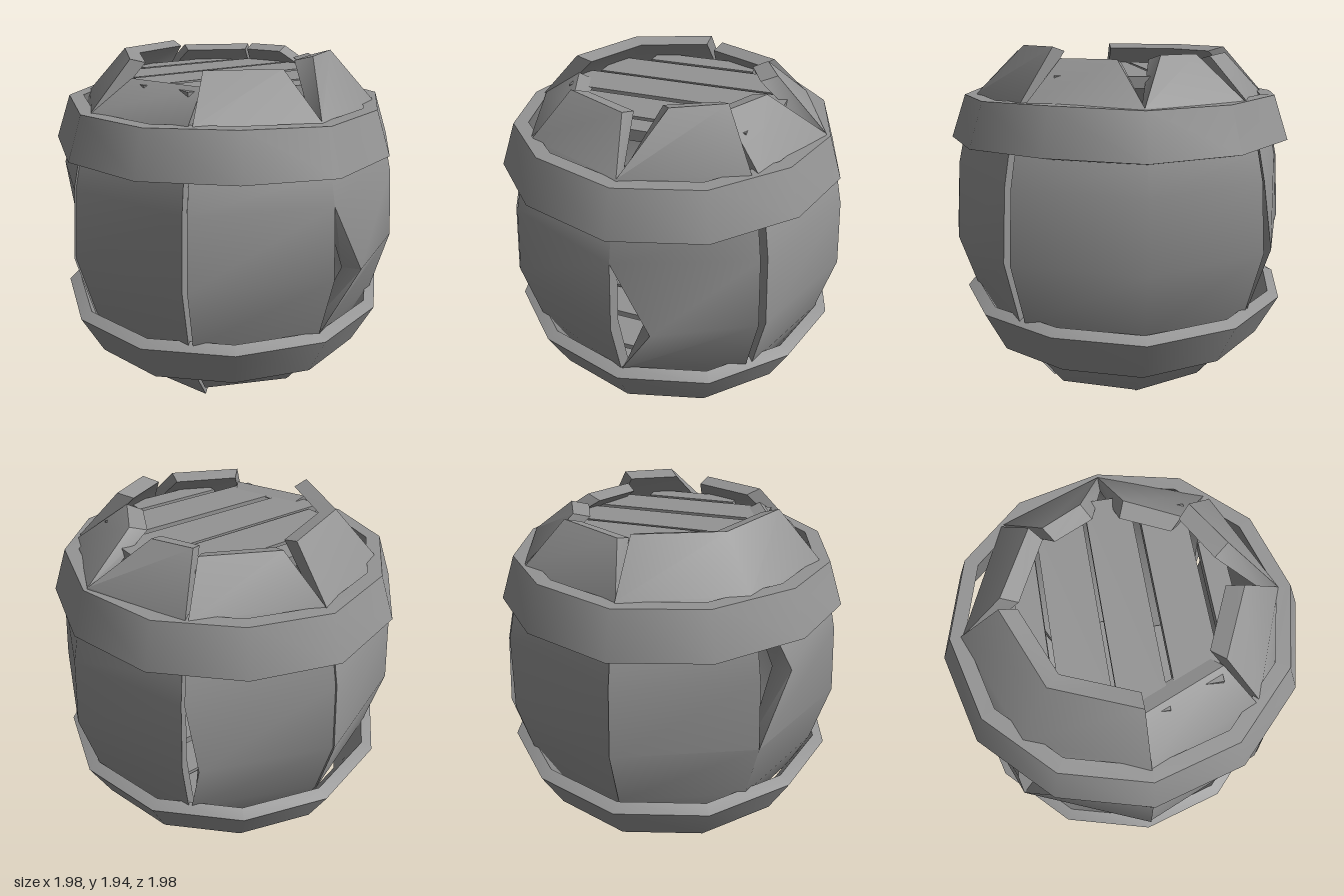
import * as THREE from 'three';
import { toCreasedNormals, mergeGeometries } from 'three/addons/utils/BufferGeometryUtils.js';

const material = new THREE.MeshStandardMaterial({ color: 0x949494 });
const rad = THREE.MathUtils.degToRad;

// Barrel profile between the two ends: [height, outer radius]
const belly = [[0.27, 0.77], [0.52, 0.89], [0.88, 0.985], [1.27, 0.955], [1.42, 0.92], [1.67, 0.83]];
const WALL = 0.09;

// One half stave: loops of four corners stacked up the profile.
// shiftL / shiftR move its side edges (degrees) at chosen rows, for notches and splits;
// the inner edges move less, so the cuts taper inwards.
function halfStave({ from, to, top, bottom, topRadius = 0.6, scale = 1, shiftL = {}, shiftR = {} }) {
  const rows = [[bottom, 0.77 - (0.27 - bottom) * 0.8], ...belly, [top, topRadius]];
  const last = rows.length - 1;
  const pos = [], index = [];
  rows.forEach(([y, r], i) => {
    const l = shiftL[i] || 0, s = shiftR[i] || 0;
    const ro = r * scale, ri = ro - WALL;
    const yi = y + (i === 0 ? 0.025 : i === last ? -0.025 : 0);
    const corners = [[from + l, ro, y], [to + s, ro, y], [to + s * 0.75, ri, yi], [from + l * 0.75, ri, yi]];
    for (const [deg, q, h] of corners) pos.push(Math.sin(rad(deg)) * q, h, Math.cos(rad(deg)) * q);
    if (i === last) return;
    for (let k = 0; k < 4; k++) {
      const p = i * 4 + k, n = i * 4 + (k + 1) % 4;
      index.push(p, n, n + 4, p, n + 4, p + 4);
    }
  });
  const t = last * 4;
  index.push(0, 2, 1, 0, 3, 2, t, t + 1, t + 2, t, t + 2, t + 3);
  const g = new THREE.BufferGeometry();
  g.setAttribute('position', new THREE.Float32BufferAttribute(pos, 3));
  g.setIndex(index);
  return g;
}

// Staves, each made of one or two halves. Rows 3 and 4 are the belly, row 7 the top.
const staves = {
  frontStave: [
    { from: -45, to: 0, top: 1.9, bottom: 0.1, shiftR: { 7: -6 } },
    { from: 0, to: 45, top: 1.94, bottom: 0.1, topRadius: 0.58, shiftL: { 3: 12, 7: 16 } },
  ],
  leftStave: [
    { from: 47.5, to: 90, top: 1.88, bottom: 0.05, topRadius: 0.53, shiftL: { 7: -2 }, shiftR: { 7: -10 } },
    { from: 90, to: 132, top: 1.9, bottom: 0.04, topRadius: 0.54, shiftL: { 7: 14 }, shiftR: { 7: -3 } },
  ],
  backLeftStave: [
    { from: 133, to: 180, top: 1.89, bottom: 0.03, shiftL: { 3: 4 }, shiftR: { 7: -7 } },
  ],
  backRightStave: [
    { from: 180, to: 225, top: 1.92, bottom: 0.09, scale: 1.01 },
    { from: 225, to: 270, top: 1.92, bottom: 0.09, scale: 1.01, shiftL: { 4: 12, 5: 8 } },
  ],
  rightStave: [
    { from: 270, to: 313.5, top: 1.82, bottom: 0.0, shiftR: { 7: 1 } },
  ],
};

// Faceted hoop from a closed section, slightly uneven and pressed in on its +x and +z sides
function hoop(name, section, pressX, pressZ) {
  const points = [...section, section[0]].map(([r, y]) => new THREE.Vector2(r, y));
  const g = new THREE.LatheGeometry(points, 12);
  const p = g.attributes.position;
  for (let i = 0; i < p.count; i++) {
    const x = p.getX(i), z = p.getZ(i);
    const lift = 0.01 * Math.cos(4 * Math.atan2(x, z) + 2.5);
    p.setXYZ(i, x > 0 ? x * pressX : x, p.getY(i) + lift, z > 0 ? z * pressZ : z);
  }
  const mesh = new THREE.Mesh(toCreasedNormals(g, 0.8), material);
  mesh.name = name;
  return mesh;
}

// Round end made of parallel planks
function plankLid(name, y, radius) {
  const lid = new THREE.Group();
  lid.name = name;
  for (const [z, depth] of [[-0.47, 0.13], [-0.255, 0.25], [0.01, 0.24], [0.29, 0.24], [0.5, 0.12]]) {
    const half = Math.sqrt(radius ** 2 - (Math.abs(z) + 0.04) ** 2);
    const plank = new THREE.Mesh(new THREE.BoxGeometry(half * 2, 0.06, depth), material);
    plank.position.set(0, y, z);
    plank.name = 'plank';
    lid.add(plank);
  }
  return lid;
}

export function createModel() {
  const barrel = new THREE.Group();
  barrel.name = 'barrel';

  for (const [name, halves] of Object.entries(staves)) {
    const mesh = new THREE.Mesh(toCreasedNormals(mergeGeometries(halves.map(halfStave)), 0.8), material);
    mesh.name = name;
    barrel.add(mesh);
  }

  barrel.add(
    hoop('upperHoop', [[0.985, 1.43], [0.9, 1.67], [0.82, 1.67], [0.9, 1.41]], 0.95, 1),
    hoop('lowerHoop', [[0.86, 0.27], [0.985, 0.51], [0.92, 0.54], [0.77, 0.27]], 0.975, 0.96),
    plankLid('topLid', 1.77, 0.6),
    plankLid('bottomLid', 0.19, 0.58),
  );
  return barrel;
}
